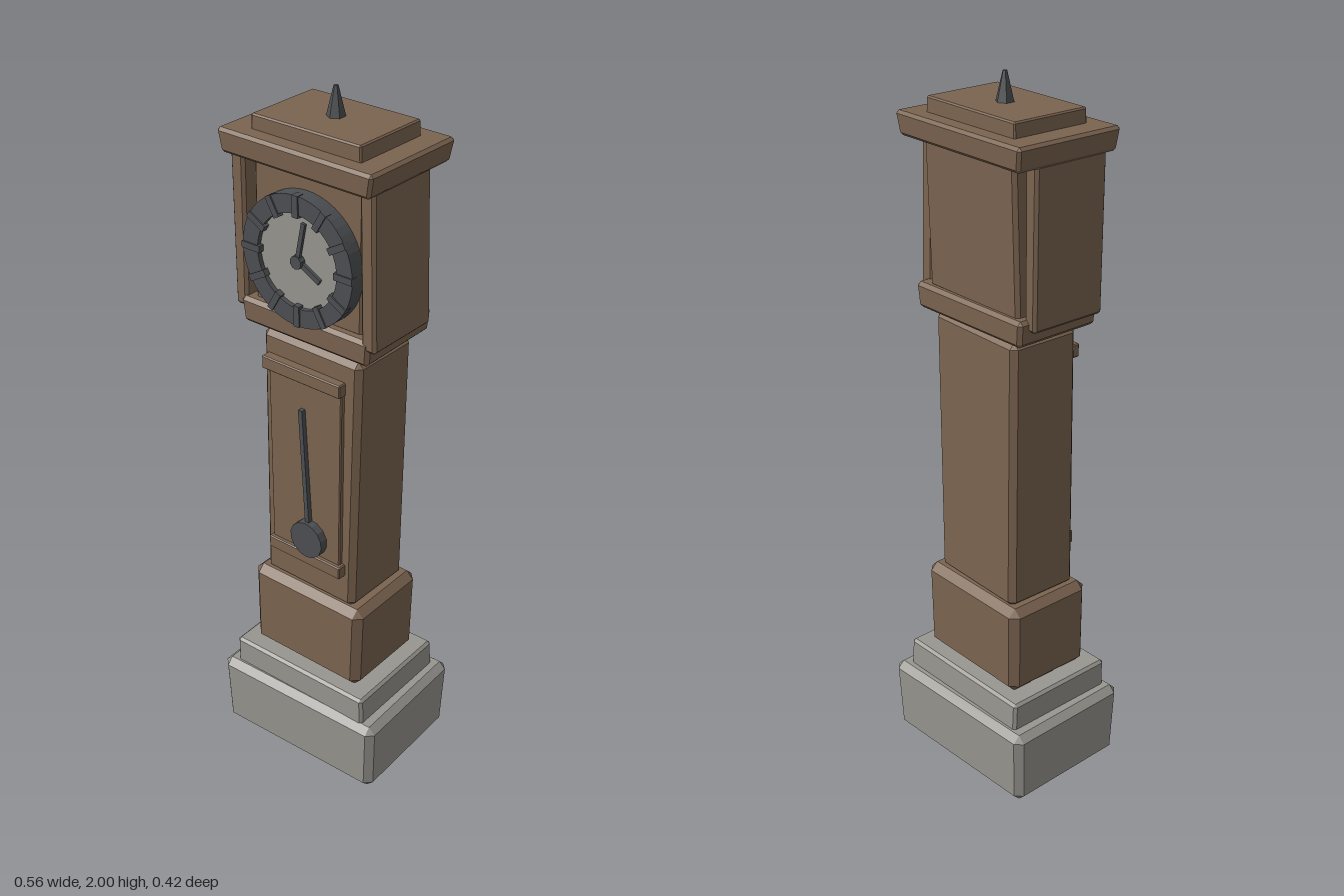
import * as THREE from 'three';
import { ConvexGeometry } from 'three/addons/geometries/ConvexGeometry.js';

const material = (name, color) => {
  const m = new THREE.MeshStandardMaterial({ color, flatShading: true });
  m.name = name;
  return m;
};

export function createModel() {
  const wood = material('wood', 0x7b6450);
  const stone = material('stone', 0x989690);
  const iron = material('iron', 0x4c4f52);
  const model = new THREE.Group();
  model.name = 'longcaseClock';

  const add = (name, geometry, mat, x = 0, y = 0, z = 0, parent = model) => {
    const mesh = new THREE.Mesh(geometry, mat);
    mesh.name = name;
    mesh.position.set(x, y, z);
    parent.add(mesh);
    return mesh;
  };

  // Chamfered, hand-cut block: bottom and top are [x0, x1, z0, z1]; yaw and tilt make it crooked
  const block = (name, mat, y0, y1, bottom, top, bevel, yaw = 0, tilt = 0) => {
    const points = [];
    const mid = (y0 + y1) / 2;
    for (const [y, r, sy] of [[y0, bottom, 1], [y1, top, -1]])
      for (const i of [0, 1])
        for (const k of [0, 1]) {
          const x = r[i], z = r[2 + k], sx = i ? -1 : 1, sz = k ? -1 : 1;
          for (const a of [0, 1, 2]) {
            const px = x + (a === 0 ? 0 : sx * bevel);
            const py = y + (a === 1 ? 0 : sy * bevel);
            const pz = z + (a === 2 ? 0 : sz * bevel);
            points.push(new THREE.Vector3(px + yaw * pz, py - mid + tilt * px, pz - yaw * px));
          }
        }
    return add(name, new ConvexGeometry(points), mat, 0, mid, 0);
  };

  // Stone plinth
  block('plinth', stone, 0.004, 0.232, [-0.265, 0.265, -0.19, 0.195], [-0.272, 0.272, -0.198, 0.2], 0.02, 0.04, -0.01);
  block('plinthStep', stone, 0.22, 0.312, [-0.23, 0.23, -0.168, 0.178], [-0.23, 0.228, -0.165, 0.178], 0.008, 0.022, -0.008);

  // Wooden case
  block('caseFoot', wood, 0.31, 0.578, [-0.19, 0.186, -0.132, 0.143], [-0.191, 0.193, -0.132, 0.143], 0.022, 0.01, -0.008);
  block('trunk', wood, 0.57, 1.347, [-0.158, 0.157, -0.107, 0.12], [-0.152, 0.176, -0.098, 0.12], 0.016, -0.008);
  block('hoodBase', wood, 1.358, 1.43, [-0.201, 0.205, -0.128, 0.136], [-0.206, 0.21, -0.13, 0.138], 0.01, 0.015, -0.01);
  block('hoodCore', wood, 1.42, 1.825, [-0.178, 0.172, -0.112, 0.112], [-0.172, 0.176, -0.12, 0.112], 0.01, 0.012);
  block('hoodSideRight', wood, 1.4, 1.83, [-0.228, -0.188, -0.097, 0.133], [-0.231, -0.186, -0.097, 0.133], 0.008);
  block('hoodSideLeft', wood, 1.4, 1.83, [0.186, 0.231, -0.097, 0.133], [0.177, 0.222, -0.092, 0.133], 0.008);
  block('cornice', wood, 1.82, 1.884, [-0.236, 0.232, -0.157, 0.162], [-0.244, 0.241, -0.161, 0.165], 0.008, -0.006, -0.006);
  block('roofSlab', wood, 1.875, 1.924, [-0.172, 0.173, -0.114, 0.118], [-0.17, 0.171, -0.113, 0.118], 0.004, -0.006);

  // Finial
  add('finial', new THREE.CylinderGeometry(0.006, 0.026, 0.082, 6), iron, 0, 1.959, 0);

  // Door with rails
  block('door', wood, 0.69, 1.27, [-0.116, 0.12, 0.1, 0.134], [-0.118, 0.127, 0.1, 0.134], 0.003);
  block('doorTopRail', wood, 1.245, 1.283, [-0.132, 0.13, 0.1, 0.146], [-0.132, 0.13, 0.1, 0.146], 0.003);
  block('doorBottomRail', wood, 0.674, 0.712, [-0.122, 0.13, 0.1, 0.146], [-0.122, 0.13, 0.1, 0.146], 0.003);

  // Pendulum
  const pendulum = new THREE.Group();
  pendulum.name = 'pendulum';
  pendulum.position.set(0, 1.165, 0.142);
  pendulum.rotation.z = 0.056;
  model.add(pendulum);
  add('pendulumRod', new THREE.BoxGeometry(0.013, 0.4, 0.014), iron, 0, -0.2, 0, pendulum);
  const bob = add('pendulumBob', new THREE.CylinderGeometry(0.055, 0.055, 0.026, 14), iron, 0, -0.4, 0.003, pendulum);
  bob.rotation.x = Math.PI / 2;

  // Clock face
  const face = new THREE.Group();
  face.name = 'clockFace';
  face.position.set(0, 1.592, 0);
  model.add(face);
  const dial = add('dial', new THREE.CylinderGeometry(0.15, 0.15, 0.035, 24), stone, 0, 0, 0.1235, face);
  dial.rotation.x = Math.PI / 2;

  const ring = new THREE.Shape().absarc(0, 0, 0.176, 0, Math.PI * 2);
  ring.holes.push(new THREE.Path().absarc(0, 0, 0.127, 0, Math.PI * 2, true));
  add('dialRing', new THREE.ExtrudeGeometry(ring, { depth: 0.044, bevelEnabled: false, curveSegments: 24 }), iron, 0, 0, 0.11, face);

  // Hour marks around the ring
  for (let i = 0; i < 12; i++) {
    const a = (i * Math.PI) / 6;
    const mark = add('hourMark', new THREE.BoxGeometry(0.018, 0.058, 0.022), iron, Math.sin(a) * 0.148, Math.cos(a) * 0.148, 0.147, face);
    mark.rotation.z = -a;
  }

  // Hands run from the hub to the given tip
  const hand = (name, x, y, width, z) => {
    const mesh = add(name, new THREE.BoxGeometry(width, Math.hypot(x, y), 0.008), iron, x / 2, y / 2, z, face);
    mesh.rotation.z = -Math.atan2(x, y);
  };
  hand('hourHand', 0.068, -0.037, 0.015, 0.146);
  hand('minuteHand', 0.022, 0.108, 0.012, 0.15);
  const hub = add('handHub', new THREE.CylinderGeometry(0.018, 0.018, 0.02, 10), iron, 0, 0, 0.148, face);
  hub.rotation.x = Math.PI / 2;

  return model;
}
